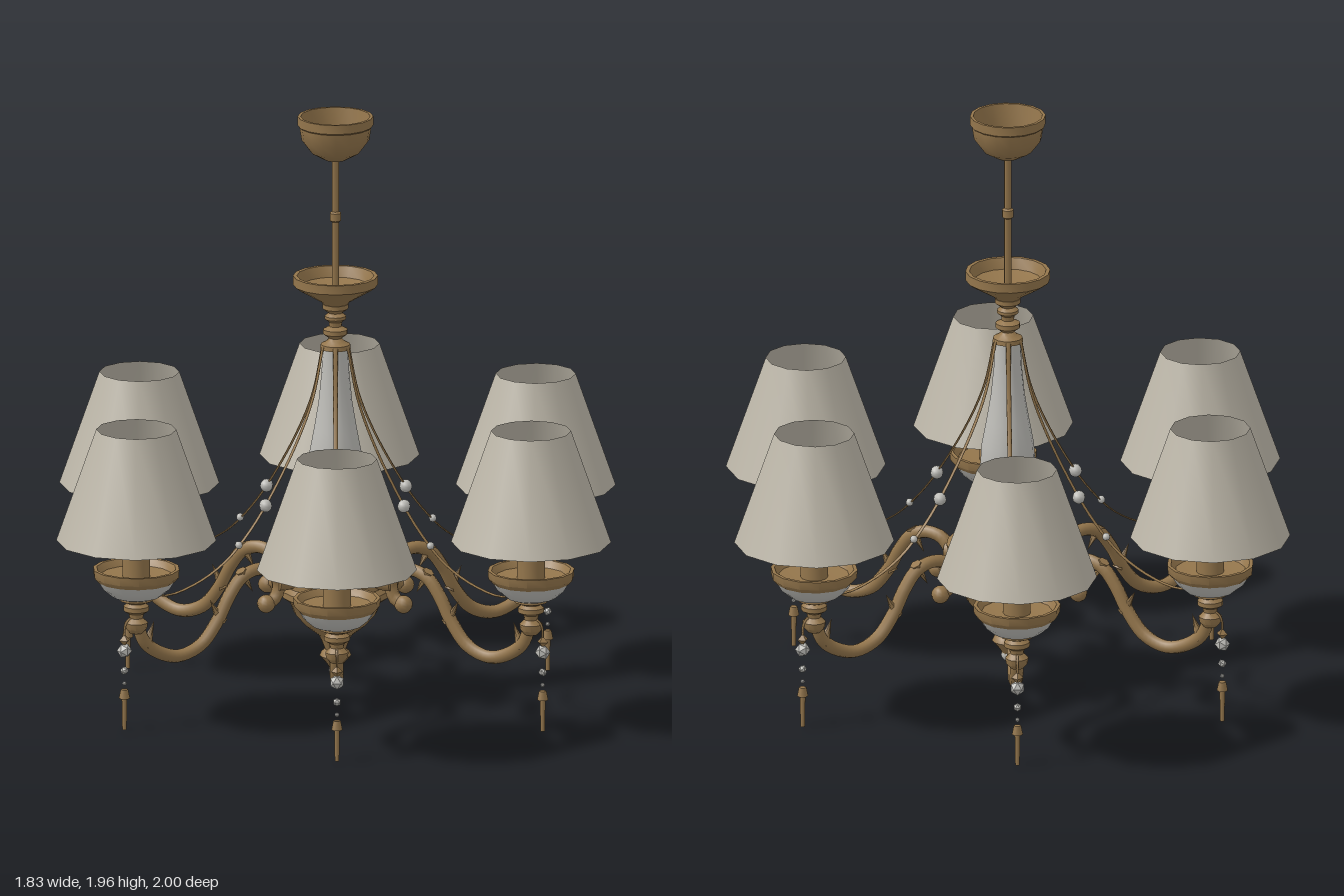
import * as THREE from 'three';
import { toCreasedNormals } from 'three/addons/utils/BufferGeometryUtils.js';

const material = (name, color) => {
  const m = new THREE.MeshStandardMaterial({ color, side: THREE.DoubleSide });
  m.name = name;
  return m;
};

export function createModel() {
  const brass = material('aged brass', 0x94764c);
  const fabric = material('shade fabric', 0xbcb6a8);
  const glass = material('pale glass', 0xbebdb8);

  const v2 = (p) => p.map(([x, y]) => new THREE.Vector2(x, y));
  const v3 = (p) => new THREE.CatmullRomCurve3(p.map(([x, y]) => new THREE.Vector3(x, y, 0)));

  const add = (parent, name, geometry, mat, x = 0, y = 0, z = 0) => {
    const mesh = new THREE.Mesh(geometry, mat);
    mesh.name = name;
    mesh.position.set(x, y, z);
    parent.add(mesh);
    return mesh;
  };
  // Turned part: profile of [radius, height] from bottom to top
  const turned = (parent, name, profile, mat, x = 0, sides = 16) =>
    add(parent, name, toCreasedNormals(new THREE.LatheGeometry(v2(profile), sides), 0.7), mat, x);

  const model = new THREE.Group();
  model.name = 'chandelier';
  const centre = new THREE.Group();
  centre.name = 'chandelierBody';
  centre.position.z = -0.01;
  model.add(centre);

  // Ceiling canopy, rod and upper dish
  turned(centre, 'canopy', [[0, 1.81], [0.035, 1.815], [0.08, 1.84], [0.11, 1.88], [0.117, 1.925],
    [0.123, 1.93], [0.123, 1.96], [0.113, 1.96], [0.1, 1.88], [0, 1.83]], brass);
  turned(centre, 'rod', [[0.012, 1.34], [0.012, 1.605], [0.019, 1.61], [0.019, 1.635],
    [0.012, 1.64], [0.012, 1.82]], brass, 0, 10);
  turned(centre, 'upperDish', [[0.035, 1.325], [0.05, 1.34], [0.125, 1.385], [0.138, 1.395],
    [0.138, 1.425], [0.125, 1.425], [0.11, 1.39], [0, 1.355]], brass);
  turned(centre, 'upperNeck', [[0.05, 1.18], [0.048, 1.195], [0.03, 1.205], [0.02, 1.215], [0.04, 1.23],
    [0.04, 1.245], [0.02, 1.255], [0.022, 1.27], [0.035, 1.28], [0.035, 1.29], [0.022, 1.3],
    [0.042, 1.315], [0.042, 1.33], [0, 1.34]], brass);

  // Glass column and its lower collar
  turned(centre, 'glassColumn', [[0.035, 0.61], [0.06, 0.64], [0.083, 0.69], [0.09, 0.76], [0.085, 0.83],
    [0.07, 0.91], [0.055, 1.0], [0.045, 1.1], [0.042, 1.185]], glass);
  turned(centre, 'lowerCollar', [[0.045, 0.55], [0.025, 0.565], [0.025, 0.575], [0.042, 0.585],
    [0.042, 0.6], [0.03, 0.61], [0.045, 0.62], [0.04, 0.63]], brass);

  // Main hub and finial
  turned(centre, 'hub', [[0.03, 0.16], [0.045, 0.2], [0.055, 0.22], [0.1, 0.255], [0.135, 0.295], [0.15, 0.335],
    [0.178, 0.355], [0.178, 0.375], [0.165, 0.39], [0.165, 0.44], [0.195, 0.46], [0.2, 0.485],
    [0.185, 0.5], [0.12, 0.53], [0.06, 0.55], [0, 0.56]], brass, 0, 20);
  turned(centre, 'finial', [[0, 0.085], [0.02, 0.095], [0.02, 0.11], [0.03, 0.125], [0.052, 0.15],
    [0.045, 0.165], [0.03, 0.175]], brass, 0, 12);
  add(centre, 'finialBead', new THREE.SphereGeometry(0.022, 10, 8), glass, 0, 0.1);

  // Shared curves of every arm: outward along +x
  const armCurve = v3([[0.255, 0.352], [0.222, 0.375], [0.212, 0.42], [0.24, 0.462], [0.295, 0.475],
    [0.35, 0.455], [0.395, 0.4], [0.44, 0.32], [0.5, 0.25], [0.58, 0.222], [0.65, 0.24],
    [0.71, 0.285], [0.741, 0.36]]);
  const strandCurve = v3([[0.047, 1.19], [0.085, 1.02], [0.15, 0.87], [0.25, 0.7], [0.32, 0.605],
    [0.41, 0.515], [0.52, 0.455], [0.63, 0.43], [0.7, 0.45]]);
  const R = 0.741;

  const makeArm = () => {
    const arm = new THREE.Group();
    arm.name = 'lampArm';

    // Scrolled arm, hub mount and pointed leaves
    add(arm, 'armTube', new THREE.TubeGeometry(armCurve, 48, 0.022, 8), brass);
    add(arm, 'scrollEnd', new THREE.SphereGeometry(0.03, 10, 8), brass, 0.258, 0.355);
    const mount = add(arm, 'armMount', new THREE.CylinderGeometry(0.03, 0.035, 0.07, 10), brass, 0.185, 0.425);
    mount.rotation.z = Math.PI / 2;
    for (const [x, y, tilt] of [[0.69, 0.31, 0.35], [0.445, 0.355, -0.5], [0.33, 0.44, 2.6]]) {
      const leaf = add(arm, 'armLeaf', new THREE.ConeGeometry(0.02, 0.09, 6), brass, x, y);
      leaf.rotation.z = tilt;
    }

    // Lamp cup
    turned(arm, 'cupStem', [[0.022, 0.32], [0.035, 0.335], [0.038, 0.355], [0.022, 0.37], [0.025, 0.385],
      [0.042, 0.395], [0.042, 0.41], [0.03, 0.42], [0.055, 0.43], [0.055, 0.44]], brass, R, 12);
    turned(arm, 'cupBowl', [[0.05, 0.435], [0.08, 0.445], [0.11, 0.47], [0.128, 0.5]], glass, R, 14);
    turned(arm, 'cupRim', [[0.126, 0.495], [0.14, 0.51], [0.142, 0.537], [0.13, 0.537],
      [0.115, 0.515], [0, 0.505]], brass, R, 14);

    // Candle sleeve, bulb and shade
    turned(arm, 'candleSleeve', [[0.045, 0.505], [0.045, 0.74], [0, 0.74]], brass, R, 12);
    turned(arm, 'bulb', [[0.025, 0.74], [0.035, 0.76], [0.048, 0.79], [0.05, 0.815], [0.04, 0.845],
      [0.02, 0.86], [0, 0.865]], glass, R, 12);
    turned(arm, 'shade', [[0.26, 0.63], [0.13, 1.003]], fabric, R, 12);

    // Flat garland with beads
    const strand = add(arm, 'garland', new THREE.TubeGeometry(strandCurve, 32, 0.003, 6), brass);
    strand.scale.z = 2.6;
    add(arm, 'garlandBead', new THREE.SphereGeometry(0.022, 8, 6), glass, 0.26, 0.685);
    add(arm, 'garlandBead', new THREE.SphereGeometry(0.013, 8, 6), glass, 0.36, 0.565);

    // Hanging pendant
    const px = 0.785;
    const hook = v3([[0.745, 0.365], [0.765, 0.37], [0.782, 0.35], [px, 0.3]]);
    add(arm, 'pendantHook', new THREE.TubeGeometry(hook, 10, 0.004, 5), brass);
    add(arm, 'pendantCap', new THREE.OctahedronGeometry(0.02), brass, px, 0.3);
    add(arm, 'pendantBead', new THREE.IcosahedronGeometry(0.025), glass, px, 0.265);
    add(arm, 'pendantBead', new THREE.IcosahedronGeometry(0.014), glass, px, 0.198);
    add(arm, 'pendantBead', new THREE.IcosahedronGeometry(0.008), glass, px, 0.155);
    add(arm, 'dropCap', new THREE.CylinderGeometry(0.012, 0.018, 0.03, 6), brass, px, 0.12);
    add(arm, 'dropRod', new THREE.CylinderGeometry(0.009, 0.007, 0.11, 6), brass, px, 0.055);
    return arm;
  };

  // Six arms at slightly uneven angles, in degrees from +x toward +z
  for (const angle of [-27.8, 31.7, 90.4, 151.6, 211.5, 271.8]) {
    const arm = makeArm();
    arm.rotation.y = -THREE.MathUtils.degToRad(angle);
    centre.add(arm);
  }
  return model;
}
